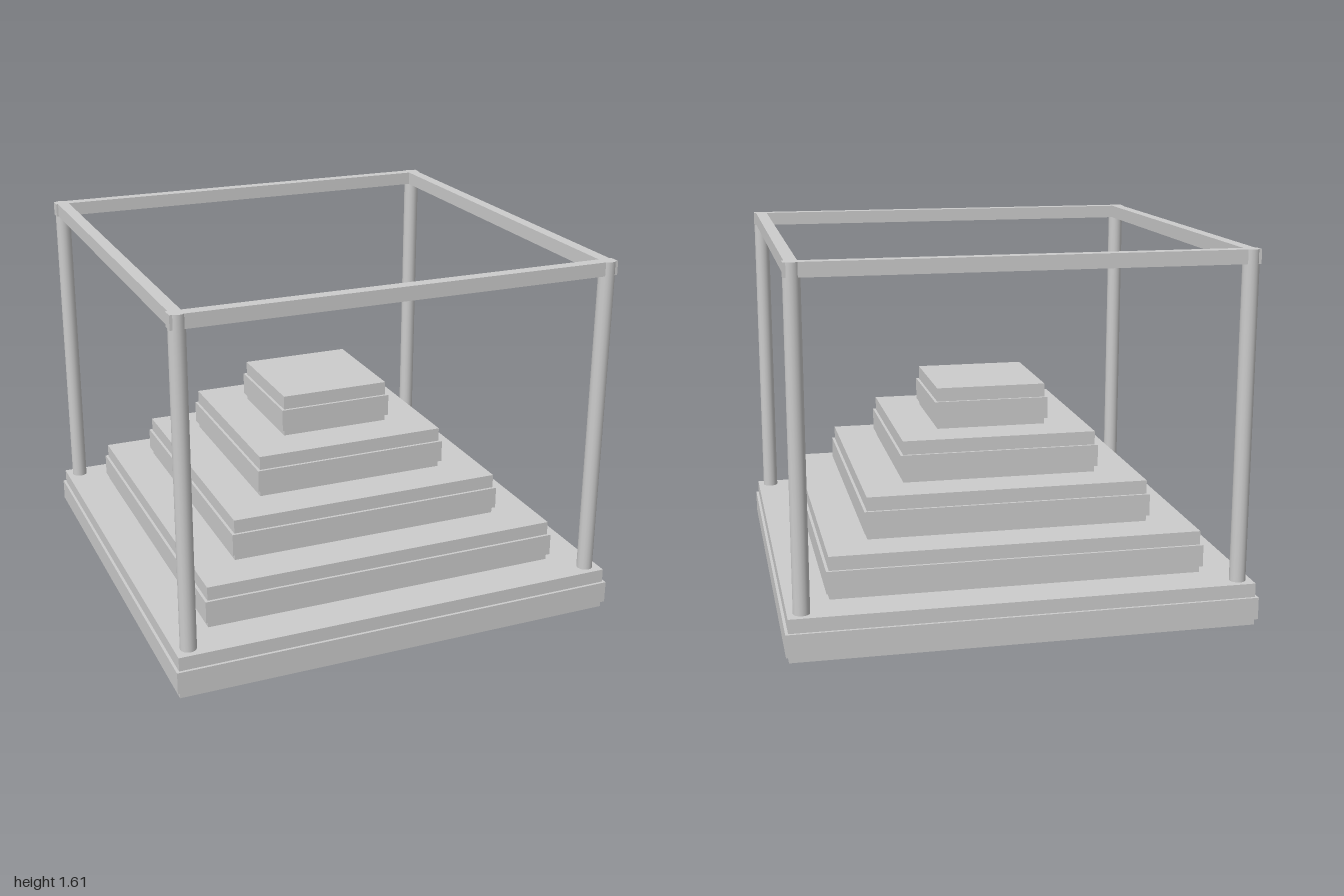
import * as THREE from 'three';

export function createModel() {
  const model = new THREE.Group();
  const stone = new THREE.MeshStandardMaterial({ color: 0xcccccc });
  stone.name = 'pale grey';

  const add = (name, geometry, x, y, z) => {
    const mesh = new THREE.Mesh(geometry, stone);
    mesh.name = name;
    mesh.position.set(x, y, z);
    model.add(mesh);
  };

  // Five square tiers, each with a slightly projecting band
  const step = 0.1855;
  const lip = 0.012;
  for (let i = 0; i < 5; i++) {
    const half = 0.988 - i * 0.1855;
    const base = i * step;
    add(`tier${i + 1}`, new THREE.BoxGeometry(2 * half, step, 2 * half), 0, base + step / 2, 0);
    const wide = 2 * (half + lip);
    add(`tierBand${i + 1}`, new THREE.BoxGeometry(wide, 0.097, wide), 0, base + 0.0765, 0);
  }

  // Round corner posts standing on the lowest tier
  const top = 1.605;
  const inset = 0.928;
  const postHeight = top - step;
  for (const x of [-inset, inset]) {
    for (const z of [-inset, inset]) {
      add('cornerPost', new THREE.CylinderGeometry(0.035, 0.035, postHeight, 16), x, step + postHeight / 2, z);
    }
  }

  // Square frame of beams joining the post tops
  const beamHeight = 0.06;
  const beamWidth = 0.052;
  const beamY = top - beamHeight / 2;
  for (const side of [-1, 1]) {
    add('crossBeam', new THREE.BoxGeometry(1.926, beamHeight, beamWidth), 0, beamY, side * inset);
    add('sideBeam', new THREE.BoxGeometry(beamWidth, beamHeight, 2 * inset - beamWidth), side * inset, beamY, 0);
  }

  return model;
}
